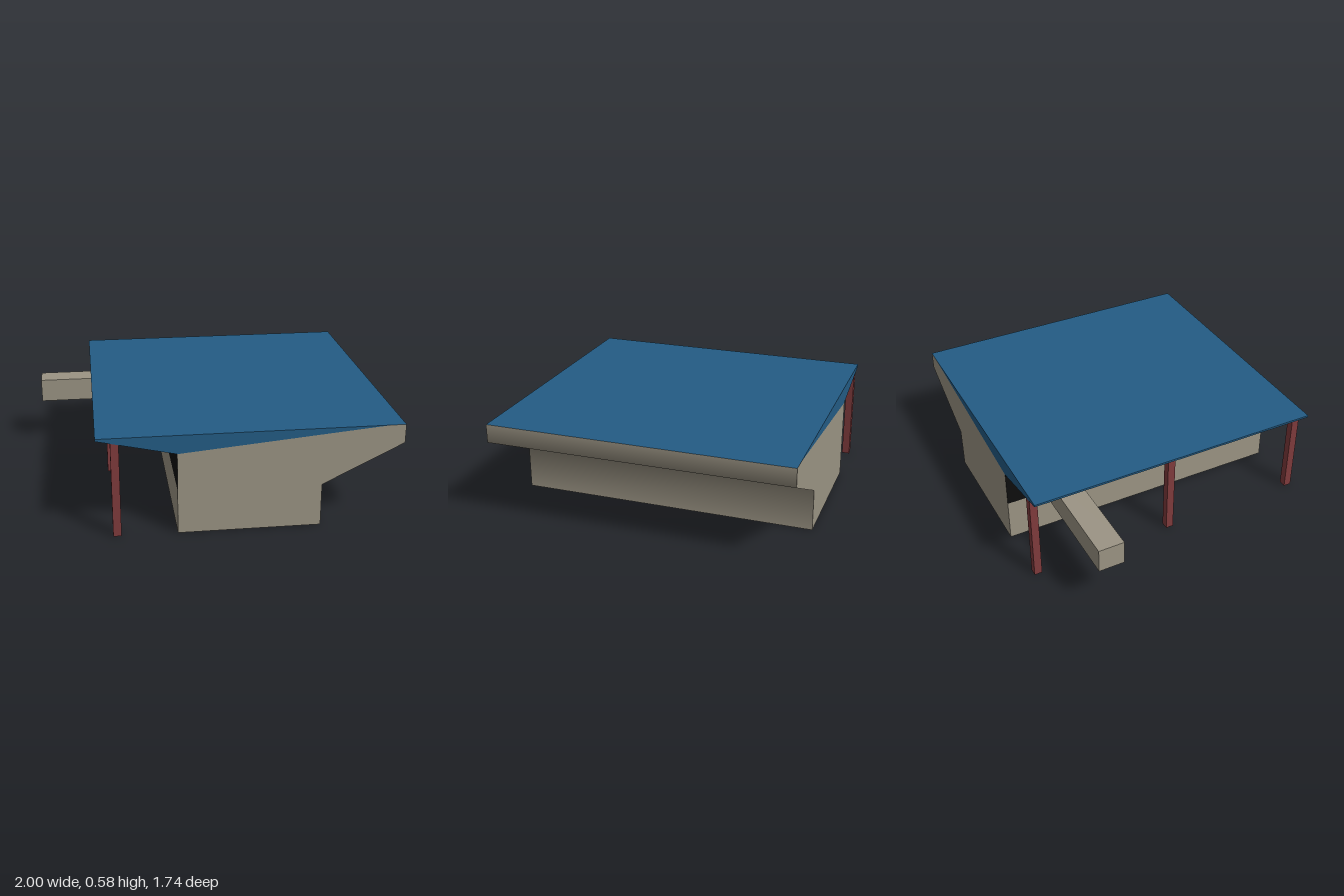
import * as THREE from 'three';

const D = 0.872; // half depth of the building
const DS = THREE.DoubleSide;

export function createModel() {
  const concrete = new THREE.MeshStandardMaterial({ color: 0x9b9484, side: DS });
  const roofBlue = new THREE.MeshStandardMaterial({ color: 0x235c85, side: DS });
  const postRed = new THREE.MeshStandardMaterial({ color: 0x803b3d });
  const glassBlack = new THREE.MeshStandardMaterial({ color: 0x0e0e0e, side: DS });
  concrete.name = 'concrete';
  roofBlue.name = 'roof blue';
  postRed.name = 'post red';
  glassBlack.name = 'glass black';

  const model = new THREE.Group();
  model.name = 'pavilion';
  const add = (geometry, material, name, parent = model) => {
    const mesh = new THREE.Mesh(geometry, material);
    mesh.name = name;
    parent.add(mesh);
    return mesh;
  };

  // Sweeps an xy profile along z; counterclockwise travel faces outward.
  const strip = (profile, smooth = false, z0 = -D, z1 = D) => {
    const pos = [], index = [];
    profile.forEach(([x, y], i) => {
      pos.push(x, y, z1, x, y, z0);
      const a = 2 * i;
      if (i < profile.length - 1) index.push(a, a + 1, a + 3, a, a + 3, a + 2);
    });
    let g = new THREE.BufferGeometry();
    g.setAttribute('position', new THREE.Float32BufferAttribute(pos, 3));
    g.setIndex(index);
    if (!smooth) g = g.toNonIndexed();
    g.computeVertexNormals();
    return g;
  };

  // The same flat outline on the front and the back
  const gables = (points, material, name) => {
    const shape = new THREE.Shape(points.map(([x, y]) => new THREE.Vector2(x, y)));
    const geometry = new THREE.ShapeGeometry(shape);
    for (const s of [1, -1]) {
      const mesh = add(geometry, material, (s > 0 ? 'front' : 'back') + name);
      mesh.position.z = s * D;
      mesh.scale.z = s;
    }
  };

  // Concrete shell, open below, with a leaning side under the high eave
  const lean = [[0.547, 0], [0.547, 0.245], [0.998, 0.47], [0.998, 0.577]];
  gables([[-0.247, 0], ...lean, [0.92, 0.577], [-0.247, 0.47]], concrete, 'Wall');
  add(strip(lean, true), concrete, 'leaningWall');

  // Low wall, window band and the solid panel behind the spout
  const sill = 0.256, head = 0.47, wx = -0.247;
  add(strip([[wx, sill], [wx, 0]]), concrete, 'lowWall');
  add(strip([[wx, head], [wx, sill]], false, -0.71, -0.45), concrete, 'spoutPanel');
  for (const [z0, z1] of [[-D, -0.71], [-0.45, D]])
    add(strip([[wx, head], [wx, sill]], false, z0, z1), glassBlack, 'windowBand');

  // Hollow roof: flat top, thin eave edge, sloping eave underside
  const eave = [[-0.678, 0.577], [-0.678, 0.565], [-0.247, 0.47]];
  add(strip([[0.998, 0.577], ...eave]), roofBlue, 'roof');
  gables([...eave, [0.92, 0.577]], roofBlue, 'RoofGable');

  // Three posts under the low eave
  for (const z of [-0.848, 0, 0.848])
    add(new THREE.BoxGeometry(0.045, 0.547, 0.045), postRed, 'post').position.set(-0.577, 0.2735, z);

  // Hollow water spout with an outlet in its floor
  const spout = new THREE.Group();
  spout.name = 'waterSpout';
  model.add(spout);
  const x0 = -1, x1 = wx, y0 = 0.285, y1 = 0.428, zc = -0.585, w = 0.15, t = 0.012;
  const len = x1 - x0, xc = (x0 + x1) / 2, yc = (y0 + y1) / 2;
  add(new THREE.BoxGeometry(len, t, w), concrete, 'spoutTop', spout).position.set(xc, y1 - t / 2, zc);
  for (const s of [-1, 1])
    add(new THREE.BoxGeometry(len, y1 - y0, t), concrete, 'spoutSide', spout)
      .position.set(xc, yc, zc + s * (w - t) / 2);
  add(new THREE.BoxGeometry(t, y1 - y0, w), concrete, 'spoutEnd', spout).position.set(x0 + t / 2, yc, zc);
  const rect = (Type, a, b, c, d) =>
    new Type([[a, c], [b, c], [b, d], [a, d]].map(([x, y]) => new THREE.Vector2(x, y)));
  const floor = rect(THREE.Shape, x0, x1, -w / 2, w / 2);
  floor.holes.push(rect(THREE.Path, -0.975, -0.865, -0.052, 0.052));
  const floorGeometry = new THREE.ExtrudeGeometry(floor, { depth: t, bevelEnabled: false });
  floorGeometry.rotateX(-Math.PI / 2);
  add(floorGeometry, concrete, 'spoutFloor', spout).position.set(0, y0, zc);

  return model;
}
